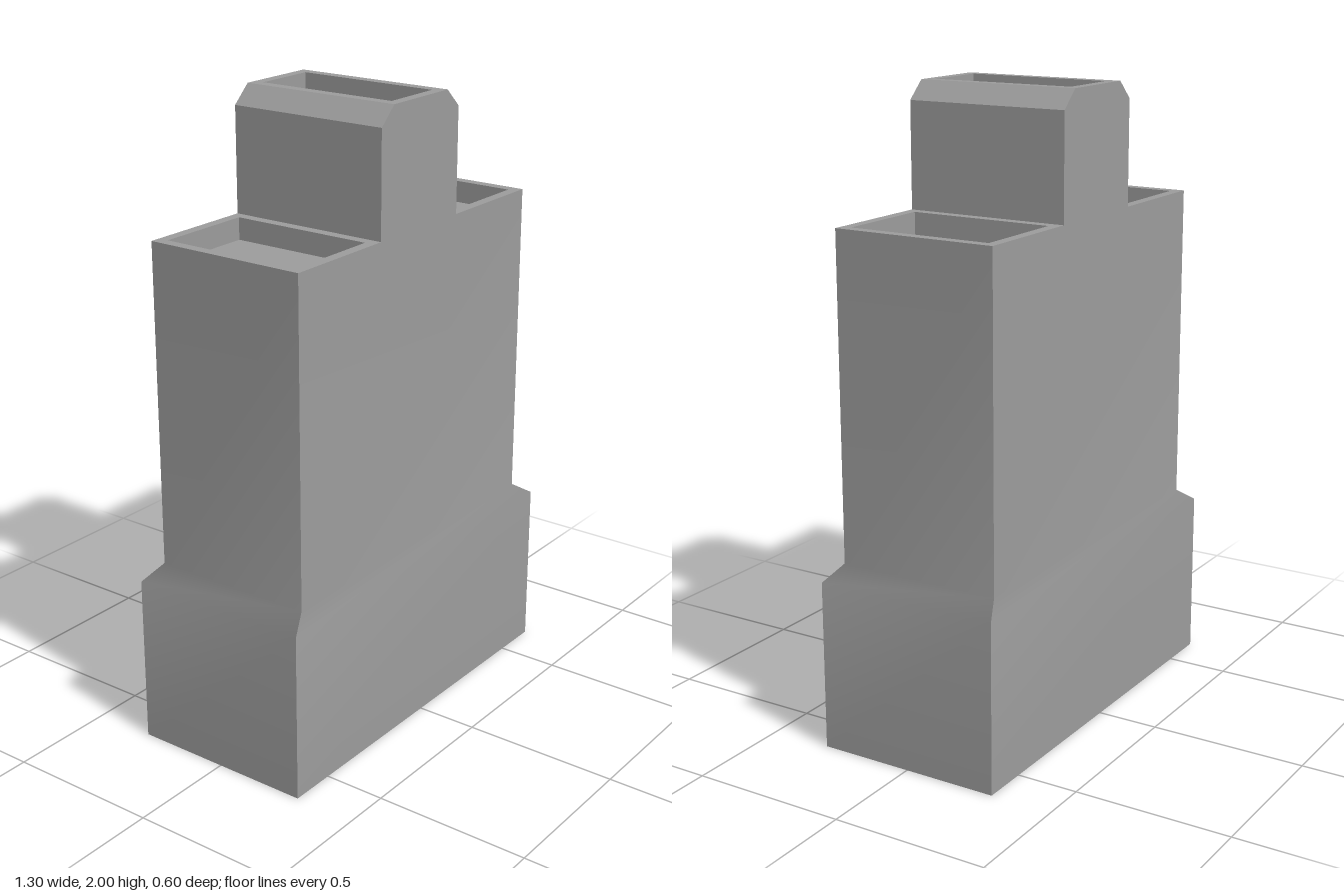
import * as THREE from 'three';
import { toCreasedNormals } from 'three/addons/utils/BufferGeometryUtils.js';

const material = new THREE.MeshStandardMaterial({ color: 0x9c9c9c, side: THREE.DoubleSide });
const CORNERS = [[-1, 1], [1, 1], [1, -1], [-1, -1]];

// One side of a rectangular shell, rising through levels of [halfWidth, halfDepth, y]
function wall(levels, side, smooth) {
  const a = CORNERS[side], b = CORNERS[(side + 1) % 4];
  const positions = [], index = [];
  levels.forEach(([hx, hz, y], i) => {
    positions.push(a[0] * hx, y, a[1] * hz, b[0] * hx, y, b[1] * hz);
    const k = 2 * i;
    if (i > 0) index.push(k - 2, k - 1, k + 1, k - 2, k + 1, k);
  });
  const geometry = new THREE.BufferGeometry();
  geometry.setAttribute('position', new THREE.Float32BufferAttribute(positions, 3));
  geometry.setIndex(index);
  if (!smooth) return toCreasedNormals(geometry, 0.5);
  geometry.computeVertexNormals();
  return geometry;
}

// Four walls, sharp at the corners; smooth ones blend along their height
function shell(name, levels, smooth) {
  const group = new THREE.Group();
  group.name = name;
  CORNERS.forEach((_, side) => {
    const mesh = new THREE.Mesh(wall(levels, side, smooth), material);
    mesh.name = name + 'Wall';
    group.add(mesh);
  });
  return group;
}

// Flat roof with a raised rim around a sunken floor
function sunkenRoof(name, x, y, hx, hz) {
  const rim = 0.033, depth = 0.07;
  const ix = hx - rim, iz = hz - rim;
  const group = shell(name, [[hx, hz, y], [ix, iz, y], [ix, iz, y - depth]], false);
  const floor = new THREE.Mesh(new THREE.PlaneGeometry(2 * ix, 2 * iz).rotateX(-Math.PI / 2), material);
  floor.name = name + 'Floor';
  floor.position.y = y - depth;
  group.add(floor);
  group.position.x = x;
  return group;
}

export function createModel() {
  const model = new THREE.Group();
  model.name = 'building';
  const baseX = 0.65, baseZ = 0.302, bodyX = 0.579, bodyZ = 0.268, towerX = 0.195, capX = 0.135;
  const shoulderY = 1.612, topY = 2;

  // Wide base sloping softly into the body, open underneath
  model.add(shell('body', [
    [baseX, baseZ, 0], [baseX, baseZ, 0.54], [bodyX, bodyZ, 0.586], [bodyX, bodyZ, shoulderY],
  ], true));

  // Central tower with chamfered top edges
  model.add(shell('tower', [
    [towerX, bodyZ, shoulderY], [towerX, bodyZ, 1.943], [capX, bodyZ, topY],
  ], false));
  model.add(sunkenRoof('towerRoof', 0, topY, capX, bodyZ));

  // Shoulder roofs on both sides of the tower
  for (const s of [-1, 1]) {
    const name = s > 0 ? 'leftShoulderRoof' : 'rightShoulderRoof';
    model.add(sunkenRoof(name, s * (bodyX + towerX) / 2, shoulderY, (bodyX - towerX) / 2, bodyZ));
  }
  return model;
}
